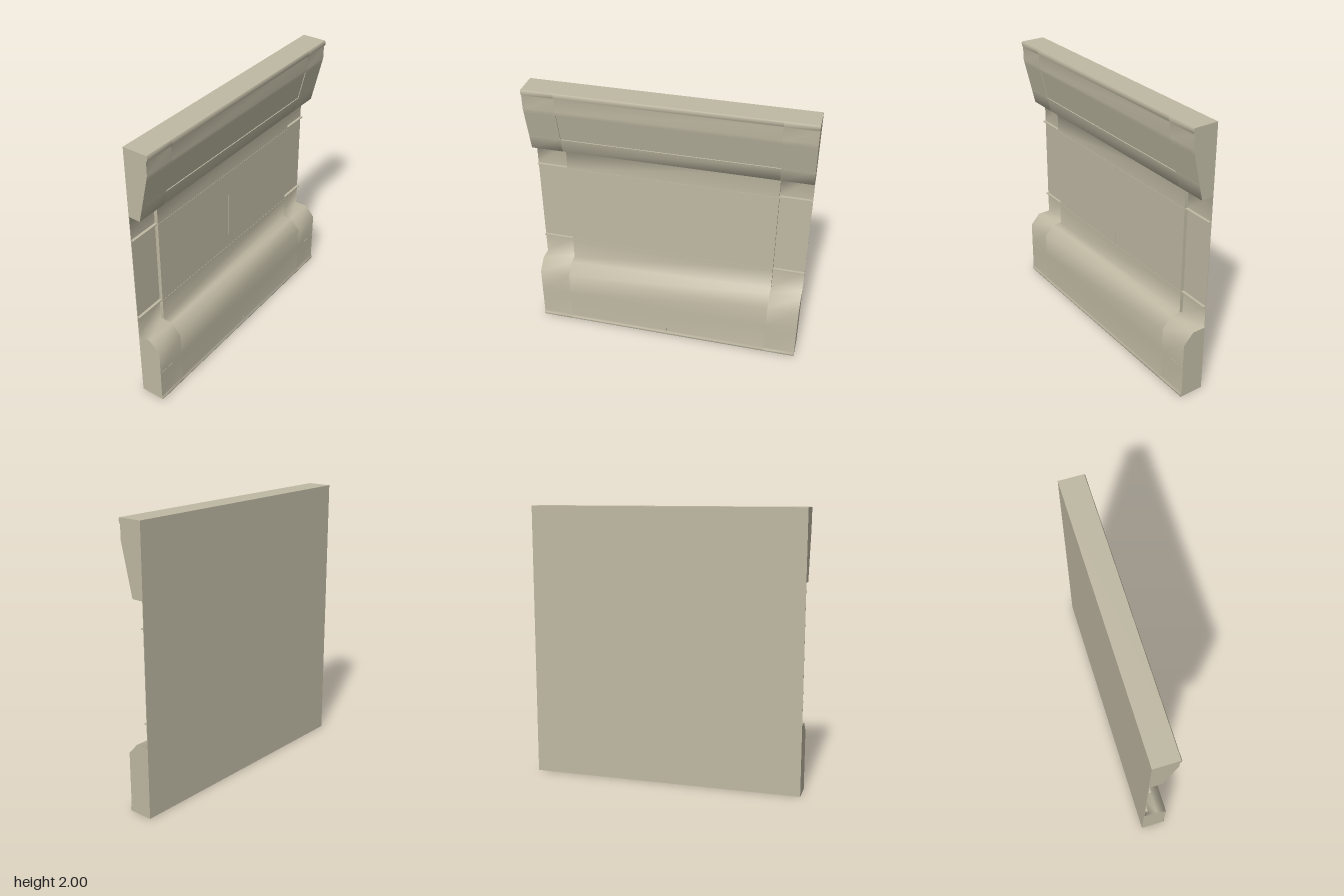
import * as THREE from 'three';

const BACK = -0.09, SEAM = 0.77;

// Each profile is a list of [z, y] runs from top to bottom; a run is smooth, runs meet at hard edges.
function profile(wallZ, recess) {
  return [
    [[BACK, 2], [0.09, 2]],
    [[0.09, 2], [0.095, 1.99], [0.095, 1.968], [0.085, 1.955], [0.085, 1.86], [0.078, 1.83]],
    [[0.078, 1.83], [0.078 - recess, 1.829]],
    [[0.078 - recess, 1.829], [0.026 - recess, 1.61]],
    [[0.026 - recess, 1.61], [0.026, 1.609]],
    [[0.026, 1.609], [0, 1.5], [wallZ, 1.5], [wallZ, 1.32]],
    [[wallZ, 1.32], [wallZ, 0.68]],
    [[wallZ, 0.68], [wallZ, 0.51], [0.01, 0.51], [0.085, 0.43], [0.085, 0.25]],
    [[0.085, 0.25], [0.085, 0.035], [0.095, 0.022], [0.095, 0.01], [0.09, 0]],
    [[0.09, 0], [BACK, 0]],
    [[BACK, 0], [BACK, 2]],
  ];
}

// Sweep one run between two x positions
function strip(run, x0, x1) {
  const pos = [], index = [];
  run.forEach(([z, y], i) => {
    pos.push(x0, y, z, x1, y, z);
    if (i) {
      const a = 2 * i - 2;
      index.push(a, a + 2, a + 1, a + 1, a + 2, a + 3);
    }
  });
  const g = new THREE.BufferGeometry();
  g.setAttribute('position', new THREE.Float32BufferAttribute(pos, 3));
  g.setIndex(index);
  g.computeVertexNormals();
  return g;
}

// Flat end of a section; side is +1 or -1
function endCap(runs, x, side) {
  const pts = runs.flatMap((r) => r.slice(0, -1)).map(([z, y]) => new THREE.Vector2(-side * z, y));
  const g = new THREE.ShapeGeometry(new THREE.Shape(pts));
  g.rotateY(side * Math.PI / 2);
  g.translate(x, 0, 0);
  return g;
}

export function createModel() {
  const model = new THREE.Group();
  model.name = 'wallPanel';
  const stone = new THREE.MeshStandardMaterial({ color: 0xbfb9a3 });
  stone.name = 'warm grey';

  function add(parent, name, geometry) {
    const mesh = new THREE.Mesh(geometry, stone);
    mesh.name = name;
    parent.add(mesh);
    return mesh;
  }

  function section(name, runs, x0, x1) {
    const group = new THREE.Group();
    group.name = name;
    runs.forEach((run) => add(group, 'face', strip(run, x0, x1)));
    add(group, 'leftEnd', endCap(runs, x1, 1));
    add(group, 'rightEnd', endCap(runs, x0, -1));
    model.add(group);
  }

  // Raised centre with a recessed hood panel, and a thin wall at each side
  section('centreSection', profile(-0.06, 0.006), -SEAM, SEAM);
  section('leftSection', profile(-0.086, 0), SEAM, 1);
  section('rightSection', profile(-0.086, 0), -1, -SEAM);

  function rib(name, w, h, d, x, y, z) {
    add(model, name, new THREE.BoxGeometry(w, h, d)).position.set(x, y, z);
  }

  // Small ribs on the side walls and the base
  for (const side of [-1, 1]) {
    for (const y of [1.32, 0.68]) rib('sideRib', 0.23, 0.008, 0.022, side * 0.885, y, -0.077);
    rib('baseRib', 0.13, 0.006, 0.006, side * 0.935, 0.25, 0.084);
  }

  // Fine joint lines across the centre
  for (const y of [1.32, 0.68]) rib('horizontalJoint', 2 * SEAM, 0.004, 0.004, 0, y, -0.06);
  rib('middleJoint', 0.004, 0.64, 0.004, 0, 1, -0.06);
  rib('baseJoint', 0.004, 0.05, 0.006, 0, 0.035, 0.085);
  return model;
}
